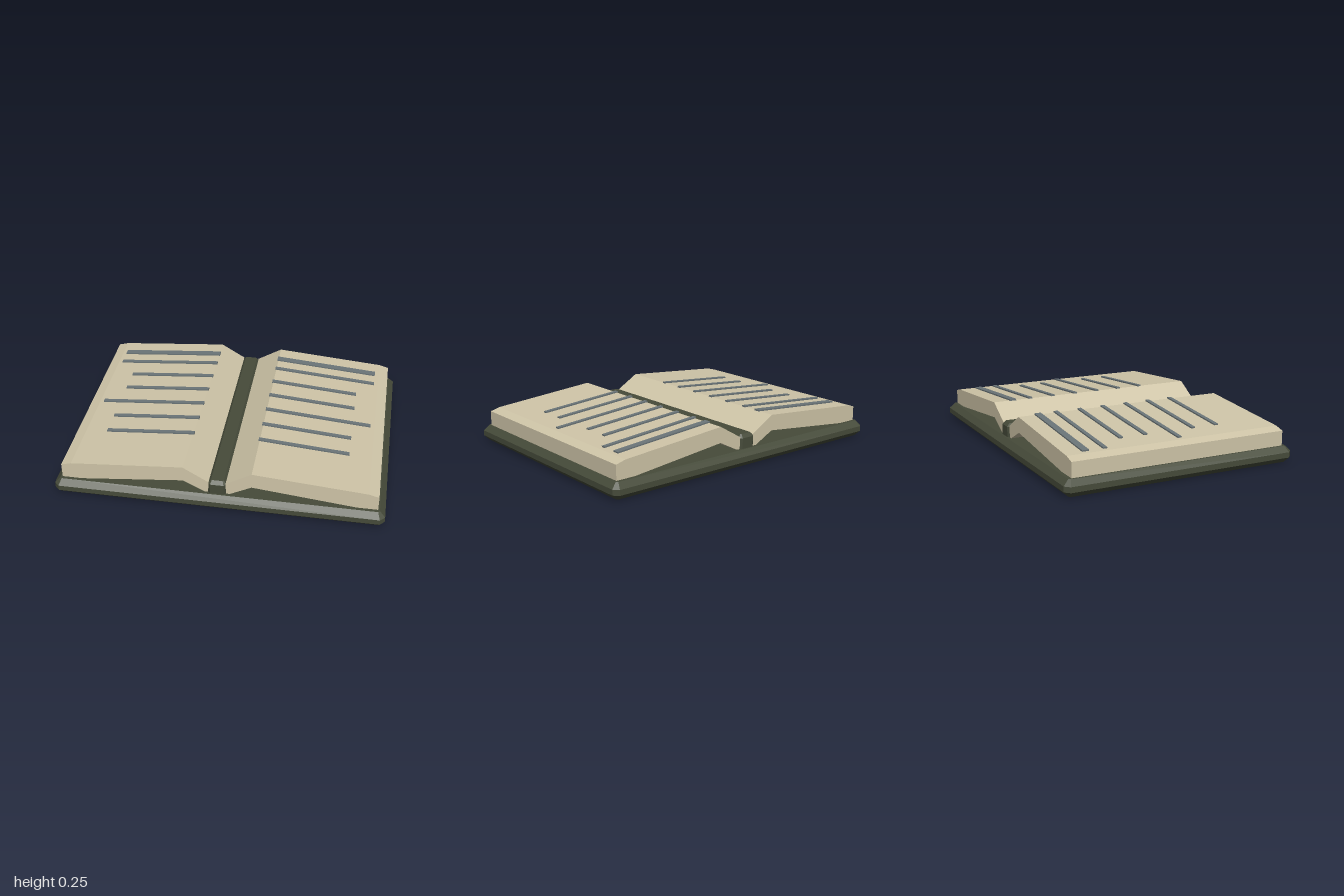
import * as THREE from 'three';

const cover = new THREE.MeshStandardMaterial({ name: 'dark green cover', color: 0x464b3a });
const paper = new THREE.MeshStandardMaterial({ name: 'cream paper', color: 0xcfc5a8 });
const ink = new THREE.MeshStandardMaterial({ name: 'slate ink', color: 0x6b7578 });

function addMesh(parent, name, geometry, material) {
  const mesh = new THREE.Mesh(geometry, material);
  mesh.name = name;
  parent.add(mesh);
  return mesh;
}

const polygon = (points) => new THREE.Shape(points.map(([x, y]) => new THREE.Vector2(x, y)));

// Box standing on y = 0 with every edge cut by c
function chamferedBlock(w, h, d, c) {
  const a = w / 2 - c, b = d / 2 - c, k = c * 0.3;
  const outline = polygon([
    [a - k, -b], [a, -b + k], [a, b - k], [a - k, b],
    [-a + k, b], [-a, b - k], [-a, -b + k], [-a + k, -b],
  ]);
  const geometry = new THREE.ExtrudeGeometry(outline, {
    depth: h - 2 * c, bevelEnabled: true, bevelSegments: 1, bevelSize: c, bevelThickness: c,
  });
  return geometry.translate(0, 0, c).rotateX(-Math.PI / 2);
}

// Cross-section of one folded page block, from the spine outwards and back underneath
const pageProfile = [
  [0.045, 0.155], [0.185, 0.238], [0.8, 0.187], [0.855, 0.172],
  [0.855, 0.078], [0.185, 0.15], [0.05, 0.08],
];
const PAGE_DEPTH = 1.24;

// Text rows: z position, length, thickness
const rows = [
  [-0.507, 0.6, 0.038], [-0.4, 0.6, 0.023], [-0.258, 0.5, 0.023], [-0.115, 0.5, 0.023],
  [0.029, 0.6, 0.023], [0.172, 0.5, 0.023], [0.316, 0.5, 0.023],
];

function buildPage(side) {
  const page = new THREE.Group();
  page.name = side > 0 ? 'leftPage' : 'rightPage';
  const block = new THREE.ExtrudeGeometry(
    polygon(pageProfile.map(([x, y]) => [x * side, y])),
    { depth: PAGE_DEPTH, bevelEnabled: false },
  ).translate(0, 0, -PAGE_DEPTH / 2);
  addMesh(page, 'pageBlock', block, paper);

  // Thin rows lying on the sloping page
  const slope = (0.187 - 0.238) / (0.8 - 0.185);
  rows.forEach(([z, length, thickness], i) => {
    const x = 0.178 + length / 2;
    const row = addMesh(page, `textRow${i + 1}`, new THREE.BoxGeometry(length, 0.009, thickness), ink);
    row.position.set(side * x, 0.238 + (x - 0.185) * slope + 0.003, z);
    row.rotation.z = side * Math.atan(slope);
  });
  return page;
}

export function createModel() {
  const model = new THREE.Group();
  model.name = 'openBook';

  // The book lies turned a little on its base
  const book = new THREE.Group();
  book.name = 'book';
  book.rotation.y = -0.192;
  model.add(book);

  addMesh(book, 'cover', chamferedBlock(1.79, 0.09, 1.336, 0.03), cover);
  const spine = addMesh(book, 'spine', chamferedBlock(0.105, 0.105, 1.26, 0.018), cover);
  spine.position.y = 0.062;

  for (const side of [-1, 1]) book.add(buildPage(side));
  return model;
}
